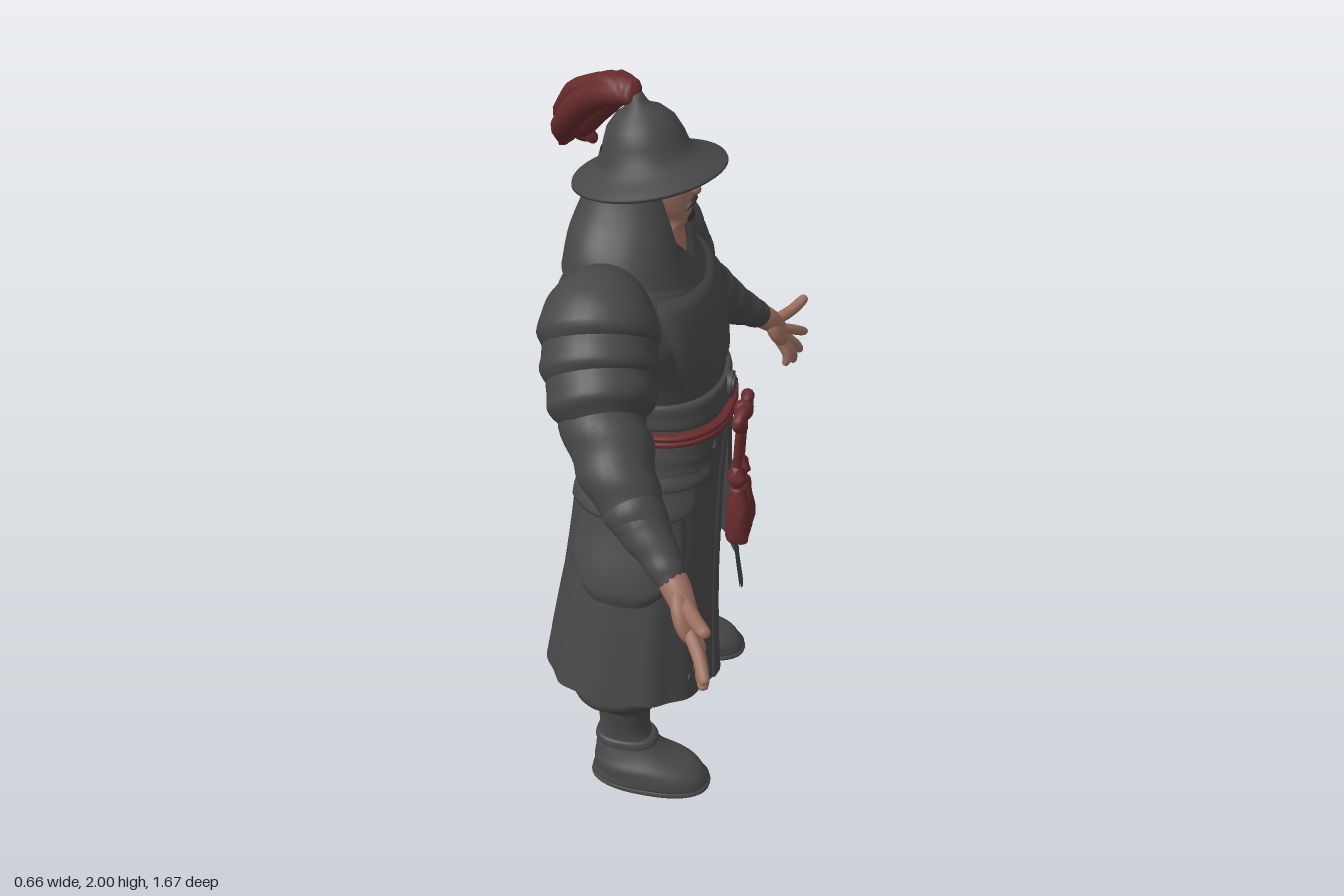
import * as THREE from 'three';
import { mergeVertices } from 'three/addons/utils/BufferGeometryUtils.js';

const material = (name, color) =>
  new THREE.MeshStandardMaterial({ name, color, side: THREE.DoubleSide });

// Smooth curve through rows of numbers, sampled with t from 0 to 1
function spline(rows) {
  const n = rows[0].length;
  const c = new THREE.CubicInterpolant(rows.map((_, i) => i / (rows.length - 1)), rows.flat(), n);
  return t => [...c.evaluate(t)];
}

// Grid surface from a function of u and v
function sheet(f, nu, nv) {
  const g = new THREE.PlaneGeometry(1, 1, nu, nv);
  const p = g.attributes.position;
  for (let i = 0; i < p.count; i++) p.setXYZ(i, ...f(p.getX(i) + 0.5, p.getY(i) + 0.5));
  g.deleteAttribute('uv');
  g.deleteAttribute('normal');
  const m = mergeVertices(g, 1e-5);
  m.computeVertexNormals();
  return m;
}

// Point on a rounded cross-section: half width, front z, back z
function around(a, rx, zf, zb, p = 0.85) {
  const pw = t => Math.sign(t) * Math.abs(t) ** p;
  return [rx * pw(Math.sin(a)), (zf + zb) / 2 + (zf - zb) / 2 * pw(Math.cos(a))];
}

// Upright body through rows [y, halfWidth, frontZ, backZ, centreX], bottom to top
function loft(rows, fold = 0) {
  const s = spline(rows);
  return sheet((u, v) => {
    const [y, rx, zf, zb, cx = 0] = s(v), a = Math.PI * 2 * u;
    const k = 1 + fold * Math.sin(v * 30 + 2 * Math.sin(a * 2));
    const [x, z] = around(a, Math.max(rx, 0) * k, zf * k, zb * k);
    return [x + cx, y, z];
  }, 40, rows.length * 4);
}

// Round tube through rows [x, y, z, radius]
function sweep(rows, sides = 12, fold = 0) {
  const s = spline(rows), ref = new THREE.Vector3(0, 0, 1);
  return sheet((u, v) => {
    const p = s(v), q0 = s(Math.max(v - 0.01, 0)), q1 = s(Math.min(v + 0.01, 1));
    const T = new THREE.Vector3(q1[0] - q0[0], q1[1] - q0[1], q1[2] - q0[2]).normalize();
    const N = new THREE.Vector3().crossVectors(T, ref).normalize();
    const B = new THREE.Vector3().crossVectors(T, N);
    const a = u * Math.PI * 2;
    const r = Math.max(p[3], 0.0004) * (1 + fold * Math.sin(v * 26 + 2.2 * Math.sin(a)));
    N.multiplyScalar(Math.cos(a) * r).addScaledVector(B, Math.sin(a) * r);
    return [p[0] + N.x, p[1] + N.y, p[2] + N.z];
  }, sides, rows.length * 5);
}

export function createModel() {
  const model = new THREE.Group(), body = new THREE.Group();
  body.name = 'warrior';
  body.rotation.y = Math.PI / 2; // the figure looks along +x
  model.add(body);
  const cloth = material('charcoal', 0x474747), red = material('dark red', 0x672b2c);
  const skin = material('skin', 0x9e7160), hair = material('dark hair', 0x3c3230);
  const add = (name, geo, mat, pos) => {
    const m = new THREE.Mesh(geo, mat);
    m.name = name;
    if (pos) m.position.set(...pos);
    body.add(m);
    return m;
  };
  const ball = (name, mat, pos, size) => {
    const m = add(name, new THREE.SphereGeometry(1, 20, 14), mat, pos);
    m.scale.set(...size);
    return m;
  };

  // Torso and breastplate
  const torso = [[1.08, .215, .225, -.135], [1.15, .21, .222, -.132], [1.2, .202, .21, -.135],
    [1.26, .217, .205, -.165], [1.34, .253, .197, -.188], [1.42, .275, .178, -.2],
    [1.5, .265, .145, -.2], [1.56, .21, .1, -.185], [1.6, .13, .06, -.13], [1.62, .001, -.03, -.031]];
  add('torso', loft(torso, 0.008), cloth);
  const torsoAt = spline(torso);
  for (const [name, mid] of [['breastplate', 0], ['backplate', Math.PI]])
    add(name, sheet((u, v) => {
      const e = Math.min(1, 12 * Math.min(u, 1 - u, v, 1 - v)) * 0.014 - 0.002;
      const [y, rx, zf, zb] = torsoAt(0.32 + v * (0.34 + 0.1 * Math.abs(u - 0.5)));
      const [x, z] = around(mid + (u - 0.5) * 1.9, rx + e, zf + e, zb - e);
      return [x, y, z];
    }, 32, 28), cloth);

  // Hips under the skirt
  add('hips', loft([[.69, .001, .01, -.01], [.72, .08, .09, -.1], [.8, .17, .13, -.14],
    [.92, .2, .17, -.15], [1.03, .21, .2, -.14], [1.1, .21, .215, -.132]], 0.01), cloth);

  // Waist band, buckle and sash
  add('waistBand', loft([[1.15, .2, .21, -.125], [1.156, .22, .228, -.145], [1.185, .217, .227, -.145],
    [1.22, .213, .222, -.148], [1.226, .19, .2, -.125]]), cloth);
  for (const [r, h] of [[.036, .02], [.024, .03]])
    add('buckle', new THREE.CylinderGeometry(r, r, h, 24).rotateX(Math.PI / 2), cloth, [0, 1.19, .225]);
  for (const y of [1.118, 1.135])
    add('sash', loft([[y - .011, .21, .22, -.13], [y - .006, .229, .242, -.147], [y + .006, .229, .242, -.147],
      [y + .011, .21, .22, -.13]]), red);
  ball('sashKnot', red, [0, 1.112, .264], [.028, .03, .028]);

  // Skirt surface with a rising hem at the sides
  const skirtAt = spline([[.466, .266, -.264], [.427, .247, -.236], [.385, .233, -.208],
    [.335, .226, -.188], [.275, .222, -.172], [.22, .228, -.14]]);
  const skirt = (a, y, off = 0) => {
    const [rx, zf, zb] = skirtAt(THREE.MathUtils.clamp((y - .34) / .78, 0, 1));
    const [x, z] = around(a, rx + off, zf + off, zb - off, 0.8);
    return [x, y, z];
  };
  const hem = a => .35 + .06 * Math.sin(a) ** 2 - .022 * Math.min(0, Math.cos(a));
  const edge = (w, v, rx) => Math.asin(Math.min(1, (w * (1 - v) ** 1.1 / rx) ** 1.25));

  for (const s of [1, -1]) {
    const lerp = THREE.MathUtils.lerp;
    // Skirt panel, open at the front and back, with a raised front border
    const panel = (w0, w1, off) => (u, v) => {
      const rx = lerp(.465, .22, v), f = edge(.18, v, rx), b = Math.PI - edge(.13, v, rx);
      const a = s * lerp(f, b, lerp(w0, w1, s > 0 ? u : 1 - u));
      const e = off ? Math.min(1, 8 * Math.min(u, 1 - u)) * off : 0.004 * Math.sin(a * 14) * (1 - v);
      return skirt(a, lerp(hem(a), 1.12, v), e);
    };
    add('skirtPanel', sheet(panel(0, 1, 0), 48, 30), cloth);
    add('skirtBorder', sheet(panel(0, .05, .006), 10, 30), cloth);
    // Layered hip flaps, rounded at the bottom
    for (const [a0, a1, top, bot, round, off] of [[.85, 2.35, 1.0, .69, .12, .014],
      [.7, 2.5, 1.06, .91, .03, .024], [.48, 2.7, 1.1, 1.0, .015, .028]])
      add('hipFlap', sheet((u, v) => {
        const a = s * lerp(a0, a1, s > 0 ? u : 1 - u), low = bot + round * Math.abs(2 * u - 1) ** 3;
        const e = Math.min(1, 14 * Math.min(u, 1 - u), 10 * v) * off;
        return skirt(a, lerp(low, top, v), e + .003 * Math.sin(v * 8));
      }, 36, 20), cloth);
    // Raised blossoms near the hem
    for (const [a, y] of [[.52, .44], [.6, .43], [.68, .455], [.76, .44]])
      ball('hemBlossom', cloth, skirt(s * a, y), [.018, .014, .005]);

    // Trousers and boots
    add('trouserLeg', loft([[.27, .05, .05, -.05, s * .278], [.285, .085, .09, -.1, s * .28],
      [.34, .112, .13, -.15, s * .276], [.42, .136, .13, -.15, s * .237], [.52, .137, .125, -.145, s * .182],
      [.64, .127, .125, -.135, s * .142], [.8, .12, .12, -.12, s * .11], [1.0, .12, .12, -.12, s * .1]], 0.04), cloth);
    add('boot', loft([[.012, .001, .08, .079, s * .298], [.014, .078, .238, -.078, s * .298],
      [.04, .084, .243, -.084, s * .298], [.072, .08, .21, -.084, s * .296], [.1, .067, .13, -.082, s * .288],
      [.14, .057, .085, -.08, s * .277], [.2, .058, .07, -.073, s * .273], [.31, .07, .078, -.08, s * .275]], 0.008), cloth);
    add('sole', loft([[0, .001, .08, .079, s * .298], [.001, .08, .242, -.08, s * .298],
      [.018, .086, .25, -.086, s * .298], [.022, .07, .22, -.07, s * .298]]), cloth);
    add('bootStrap', loft([[.125, .052, .07, -.07, s * .279], [.13, .062, .098, -.084, s * .279],
      [.148, .06, .09, -.082, s * .278], [.154, .05, .07, -.07, s * .277]]), cloth);

    // Sleeve with folds
    const m = rows => rows.map(([x, ...r]) => [x * s, ...r]);
    add('sleeve', sweep(m([[.2, 1.47, -.05, .1], [.27, 1.41, -.045, .11], [.35, 1.34, -.03, .108],
      [.42, 1.275, -.002, .105], [.475, 1.225, .035, .097], [.525, 1.17, .075, .082],
      [.575, 1.12, .13, .06]]), 28, 0.055), cloth);
    add('bracer', sweep(m([[.515, 1.18, .07, .05], [.54, 1.155, .09, .075], [.57, 1.12, .125, .065],
      [.61, 1.08, .17, .05], [.64, 1.052, .2, .042], [.66, 1.035, .22, .03]]), 24, 0.025), cloth);
    // Overlapping shoulder plates, each flaring at its lower rim
    for (const rows of [
      [[.14, 1.56, -.055, .02], [.19, 1.535, -.055, .1], [.245, 1.495, -.055, .139], [.295, 1.45, -.05, .148], [.32, 1.425, -.045, .1]],
      [[.24, 1.49, -.05, .11], [.275, 1.455, -.047, .135], [.31, 1.42, -.043, .141], [.345, 1.385, -.037, .141], [.37, 1.36, -.03, .1]],
      [[.29, 1.43, -.045, .11], [.325, 1.395, -.038, .13], [.36, 1.36, -.028, .132], [.395, 1.325, -.015, .131], [.42, 1.3, -.005, .095]]])
      add('shoulderPlate', sweep(m(rows), 32, 0.008), cloth);

    // Open hand with spread fingers
    add('wrist', sweep(m([[.63, 1.06, .19, .034], [.66, 1.03, .222, .036], [.69, .995, .25, .03]])), skin);
    ball('palm', skin, [s * .695, .98, .253], [.052, .072, .027]).rotation.set(-.4, 0, s * .5);
    for (const [name, a, b, c, r] of [
      ['thumb', [.69, 1.01, .25], [.755, 1.015, .29], [.815, 1.035, .325], .018],
      ['indexFinger', [.725, .965, .265], [.775, .935, .3], [.834, .9, .33], .016],
      ['middleFinger', [.72, .945, .27], [.76, .895, .305], [.8, .85, .32], .016],
      ['ringFinger', [.71, .935, .27], [.735, .88, .3], [.755, .832, .305], .0155],
      ['littleFinger', [.69, .935, .265], [.695, .89, .29], [.695, .85, .288], .014]])
      add(name, sweep(m([[...a, r], [...b, r], [...c.map((q, i) => q + (b[i] - q) * .15), r * .8], [...c, 0]]), 10), skin);

    // Bow loop, cord and tassel
    add('bowLoop', sweep(m([[.005, 1.115, .262, .012], [.04, 1.132, .27, .017], [.073, 1.112, .262, .017],
      [.045, 1.088, .27, .016], [.005, 1.11, .265, .012]]), 10), red);
    add('sashCord', sweep(m([[.008, 1.11, .27, .012], [.028, 1.05, .262, .012], [.027, .93, .258, .012]]), 10), red);
    add('tassel', loft([[.715, .001, .27, .269, s * .036], [.717, .034, .302, .238, s * .036],
      [.8, .033, .299, .236, s * .034], [.87, .022, .286, .24, s * .03], [.885, .016, .277, .243, s * .029],
      [.91, .026, .286, .236, s * .028], [.94, .017, .274, .242, s * .028], [.955, .001, .26, .259, s * .028]], 0.01), red);

    // Brow and moustache
    add('brow', sweep(m([[.008, 1.778, .109, .007], [.035, 1.784, .103, .009], [.06, 1.776, .088, .004]]), 8), skin);
    add('moustache', sweep(m([[0, 1.707, .122, .006], [.02, 1.704, .118, .008], [.038, 1.69, .107, .002]]), 8), hair);
  }

  // Head, nose and beard
  add('head', loft([[1.53, .1, .1, -.07], [1.58, .09, .1, -.07], [1.63, .07, .095, -.07],
    [1.657, .05, .113, -.07], [1.69, .064, .118, -.08], [1.73, .075, .115, -.09], [1.765, .075, .106, -.09],
    [1.785, .076, .111, -.09], [1.83, .078, .1, -.09]]), skin);
  add('nose', sweep([[0, 1.785, .11, .006], [0, 1.755, .119, .01], [0, 1.732, .123, .015], [0, 1.72, .116, .002]]), skin);
  ball('beard', hair, [0, 1.668, .108], [.023, .02, .015]);

  // Hood draped from the helmet, open around the face and closing in a V
  const hoodAt = spline([[1.515, .235, .15, -.205], [1.6, .2, .115, -.19], [1.68, .145, .095, -.162],
    [1.75, .11, .08, -.13], [1.83, .095, .075, -.11]]);
  add('hood', sheet((u, v) => {
    const [y, rx, zf, zb] = hoodAt(v);
    const gap = .08 * THREE.MathUtils.clamp((y - 1.57) / .07, 0, 1);
    const g = Math.asin(Math.min(.95, (gap / rx) ** (1 / .85)));
    const a = g + u * (Math.PI * 2 - 2 * g);
    const [x, z] = around(a, rx, zf, zb);
    return [x, y - .03 * (1 - v) * Math.cos(a), z];
  }, 56, 32), cloth);

  // Brimmed helmet, tilted back
  const profile = [[.09, .025], [.185, -.01], [.195, -.004], [.193, .002], [.16, .017], [.13, .033], [.11, .052],
    [.101, .085], [.085, .122], [.058, .15], [.03, .164], [.022, .178], [.016, .192], [0, .195]];
  const helmet = add('helmet', new THREE.LatheGeometry(profile.map(p => new THREE.Vector2(...p)), 48), cloth, [0, 1.775, .008]);
  helmet.rotation.x = -.17;

  // Plume of tapering strands sweeping back to one side
  for (const [dx, dy, dz, r, len] of [[0, 0, 0, .04, 1], [.025, .008, .03, .034, .93], [-.025, -.025, -.02, .036, .93],
    [.03, -.03, 0, .034, 1.03], [-.01, .008, -.02, .034, .85], [.005, -.04, .02, .032, .78]])
    add('plumeStrand', sweep([[0, 1.945, -.02, .015], [.015 + dx * .3, 1.965 + dy * .3, -.055 + dz * .3, r * .85],
      [.07 + dx * .7, 1.945 + dy * .5, -.12 + dz, r], [.15 + dx, 1.885 + dy, -.19 + dz, r * 1.1],
      [.24 + dx, 1.805 + dy, -.25 + dz, r * .9], [.31 * len + dx, 1.735 + dy + (1 - len) * .2, -.285 * len + dz, r * .5],
      [.365 * len + dx, 1.685 + dy + (1 - len) * .3, -.315 * len + dz, 0]], 12, 0.06), red);
  return model;
}
